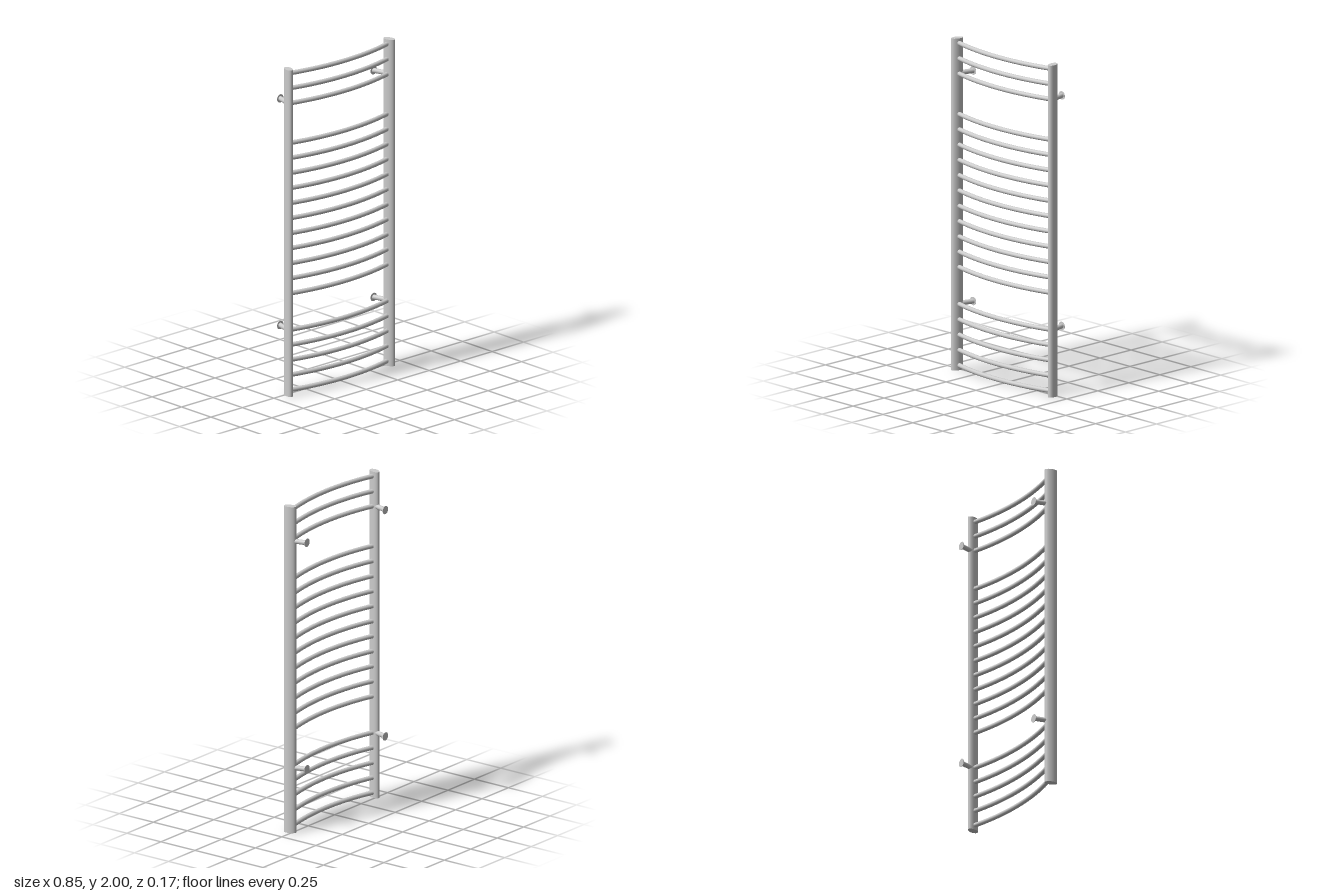
import * as THREE from 'three';

const POST_X = 0.4, POST_Z = 0.017, LEAN = 0.25;
const RAIL_STEP = 0.0922;

// Bow of the rails: a circular arc seen from above
class BowCurve extends THREE.Curve {
  getPoint(t, target = new THREE.Vector3()) {
    const radius = 1.47, angle = (t * 2 - 1) * 0.268;
    return target.set(radius * Math.sin(angle), 0, 0.0685 - radius * (1 - Math.cos(angle)));
  }
}

export function createModel() {
  const group = new THREE.Group();
  const material = new THREE.MeshStandardMaterial({ color: 0xcccccc });
  const add = (name, geometry, x, y, z) => {
    const mesh = new THREE.Mesh(geometry, material);
    mesh.name = name;
    mesh.position.set(x, y, z);
    group.add(mesh);
    return mesh;
  };

  // Curved rails in three banks: [top height, count]
  const railGeometry = new THREE.TubeGeometry(new BowCurve(), 32, 0.0135, 20);
  for (const [top, count] of [[1.971, 3], [1.543, 11], [0.398, 5]]) {
    for (let i = 0; i < count; i++) add('rail', railGeometry, 0, top - i * RAIL_STEP, 0);
  }

  // Oval posts, turned to meet the rails square on
  const postGeometry = new THREE.CylinderGeometry(1, 1, 2, 48).scale(0.022, 1, 0.038);

  // Wall stems run backwards and lean inwards
  const z0 = 0.005, z1 = -0.083;
  const stemGeometry = new THREE.CylinderGeometry(0.0145, 0.0145, z0 - z1, 24)
    .rotateX(Math.PI / 2).translate(0, 0, (z0 + z1) / 2 - z1);
  const flangeGeometry = new THREE.CylinderGeometry(0.025, 0.025, 0.002, 32).rotateX(Math.PI / 2);

  for (const side of [1, -1]) {
    const name = side > 0 ? 'left' : 'right';
    add(name + 'Post', postGeometry, side * POST_X, 1, POST_Z).rotation.y = side * LEAN;

    const shear = new THREE.Matrix4().set(
      1, 0, side * LEAN, 0,
      0, 1, 0, 0,
      0, 0, 1, 0,
      0, 0, 0, 1);
    const leaningStem = stemGeometry.clone().applyMatrix4(shear);
    for (const y of [1.787, 0.398]) {
      add(name + 'WallStem', leaningStem, side * 0.372, y, z1);
      add(name + 'WallFlange', flangeGeometry, side * 0.371, y, z1 - 0.001);
    }
  }
  return group;
}
